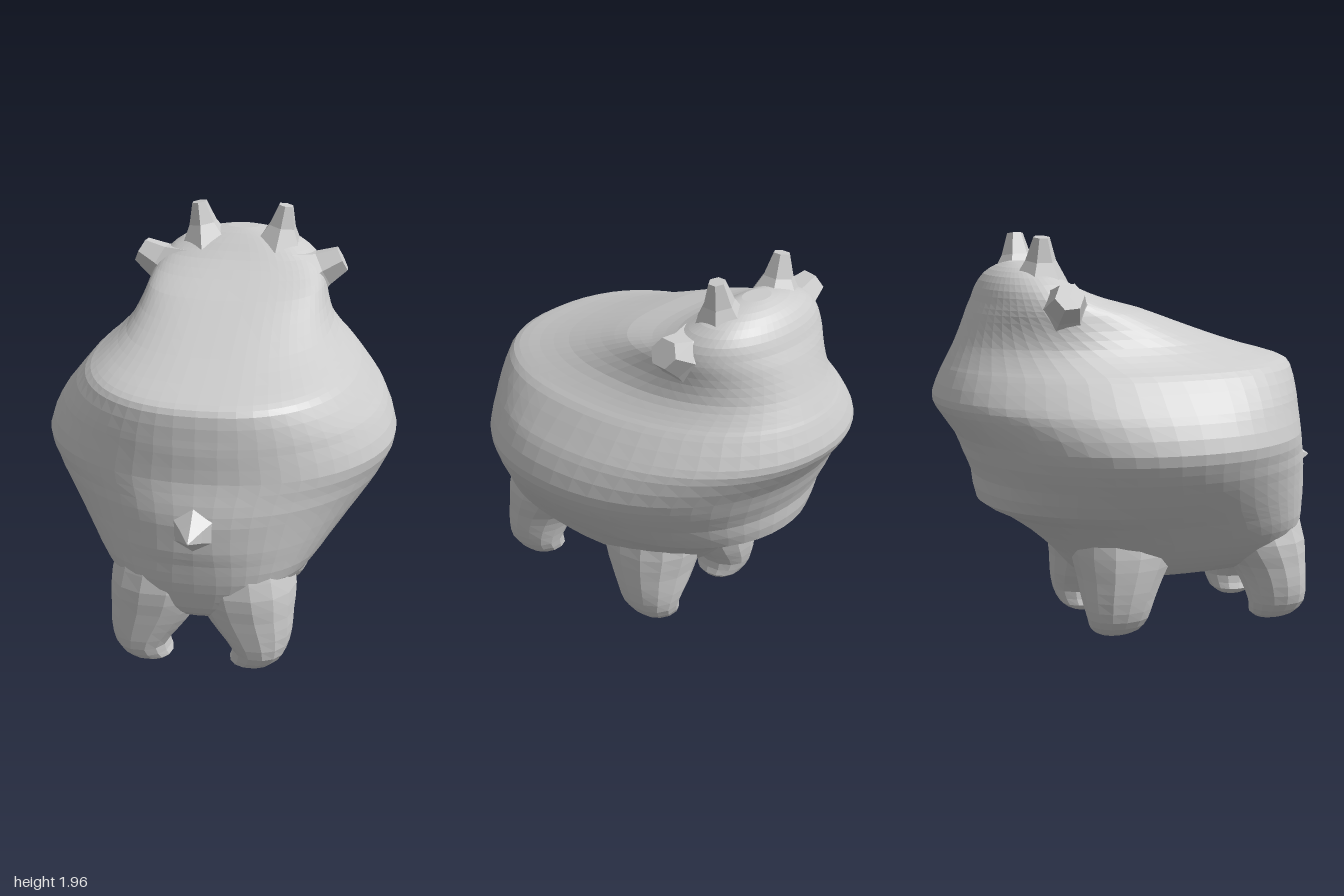
import * as THREE from 'three';

const material = new THREE.MeshStandardMaterial({ color: 0xcccccc, flatShading: true });

// Insert smooth in-between rows into a list of cross-section rows.
function refine(rows, steps) {
  const out = [];
  const at = (i) => rows[Math.max(0, Math.min(rows.length - 1, i))];
  for (let i = 0; i < rows.length - 1; i++) {
    for (let s = 0; s < steps; s++) {
      const t = s / steps;
      out.push(at(i).map((p1, k) => {
        const p0 = at(i - 1)[k], p2 = at(i + 1)[k], p3 = at(i + 2)[k];
        const v = 0.5 * (2 * p1 + (p2 - p0) * t + (2 * p0 - 5 * p1 + 4 * p2 - p3) * t * t
          + (3 * p1 - p0 - 3 * p2 + p3) * t * t * t);
        return Math.max(Math.min(p1, p2), Math.min(Math.max(p1, p2), v));
      }));
    }
  }
  out.push(rows[rows.length - 1]);
  return out;
}

// Stack horizontal rings. Row: [y, halfWidth, zFront, zBack, zWidest, frontRoundness, centreX]
function loft(rows, sides) {
  const pos = [], index = [];
  const pow = (v, n) => Math.sign(v) * Math.pow(Math.abs(v), 2 / n);
  for (const [y, w, zf, zb, zc, nf, cx] of rows) {
    for (let j = 0; j < sides; j++) {
      const a = (j / sides) * Math.PI * 2, c = Math.cos(a), s = Math.sin(a);
      const n = s > 0 ? nf : 2.1;
      pos.push(cx + w * pow(c, n), y, zc + (s > 0 ? zf - zc : zc - zb) * pow(s, n));
    }
  }
  const last = rows.length - 1;
  for (let i = 0; i < last; i++) {
    for (let j = 0; j < sides; j++) {
      const k = (j + 1) % sides;
      const a = i * sides + j, b = i * sides + k, c = b + sides, d = a + sides;
      index.push(a, d, c, a, c, b);
    }
  }
  // close both ends
  for (const i of [0, last]) {
    const [y, , , , zc, , cx] = rows[i];
    const o = pos.length / 3;
    pos.push(cx, y, zc);
    for (let j = 0; j < sides; j++) {
      const a = i * sides + j, b = i * sides + (j + 1) % sides;
      if (i === 0) index.push(o, a, b); else index.push(o, b, a);
    }
  }
  const g = new THREE.BufferGeometry();
  g.setAttribute('position', new THREE.Float32BufferAttribute(pos, 3));
  g.setIndex(index);
  g.computeVertexNormals();
  return g;
}

// Flared low-sided stub from a base point to a tip point.
function stub(name, base, tip, radii, sides) {
  const from = new THREE.Vector3(...base), dir = new THREE.Vector3(...tip).sub(from);
  const len = dir.length();
  const pts = radii.map((r, i) => new THREE.Vector2(r, (len * i) / (radii.length - 1)));
  pts.push(new THREE.Vector2(0, len));
  const mesh = new THREE.Mesh(new THREE.LatheGeometry(pts, sides), material);
  mesh.name = name;
  mesh.position.copy(from);
  mesh.quaternion.setFromUnitVectors(new THREE.Vector3(0, 1, 0), dir.normalize());
  return mesh;
}

export function createModel() {
  const group = new THREE.Group();
  group.name = 'animal';
  const add = (name, geometry) => {
    const mesh = new THREE.Mesh(geometry, material);
    mesh.name = name;
    group.add(mesh);
  };

  // body and head in one skin: belly, flanks, muzzle, sloping back, crown
  const body = [
    [0.23, 0.08, 0.55, -0.12, 0.22, 2.2],
    [0.26, 0.22, 0.72, -0.27, 0.22, 2.3],
    [0.32, 0.34, 0.81, -0.35, 0.22, 2.6],
    [0.40, 0.44, 0.84, -0.42, 0.22, 2.8],
    [0.50, 0.53, 0.86, -0.53, 0.2, 2.7],
    [0.60, 0.61, 0.87, -0.67, 0.16, 2.4],
    [0.67, 0.67, 0.88, -0.79, 0.12, 2.2],
    [0.80, 0.77, 0.88, -0.81, 0.08, 2],
    [0.90, 0.83, 0.86, -0.85, 0.05, 2],
    [1.00, 0.86, 0.83, -0.89, 0.04, 2.1],
    [1.13, 0.81, 0.82, -0.98, 0.03, 2.1],
    [1.20, 0.76, 0.81, -1.0, 0.02, 2.2],
    [1.31, 0.67, 0.79, -0.96, 0, 2.3],
    [1.35, 0.62, 0.74, -0.94, -0.05, 2.4],
    [1.39, 0.57, 0.6, -0.92, -0.12, 2.5],
    [1.45, 0.51, 0.41, -0.89, -0.22, 2.6],
    [1.53, 0.47, 0.19, -0.855, -0.34, 2.7],
    [1.60, 0.45, 0, -0.825, -0.43, 2.8],
    [1.65, 0.43, -0.18, -0.8, -0.48, 2.8],
    [1.71, 0.39, -0.33, -0.775, -0.52, 2.6],
    [1.77, 0.31, -0.42, -0.735, -0.55, 2.4],
    [1.81, 0.2, -0.48, -0.68, -0.57, 2.2],
    [1.83, 0.08, -0.52, -0.63, -0.57, 2],
  ].map((r) => [...r, 0]);
  add('body', loft(refine(body, 2), 56));

  // legs: rounded feet widening into the belly; [y, halfWidth, zFront, zBack, centreX]
  const rear = [
    [0, 0.06, 0.73, 0.6, 0.23], [0.03, 0.11, 0.79, 0.56, 0.25], [0.1, 0.13, 0.83, 0.54, 0.285],
    [0.2, 0.18, 0.84, 0.51, 0.26], [0.3, 0.22, 0.845, 0.46, 0.225], [0.42, 0.25, 0.85, 0.36, 0.2],
    [0.56, 0.24, 0.82, 0.3, 0.18],
  ];
  const fore = [
    [0, 0.06, -0.12, -0.25, 0.23], [0.03, 0.11, -0.06, -0.3, 0.25], [0.1, 0.13, -0.02, -0.33, 0.285],
    [0.2, 0.18, 0.02, -0.35, 0.26], [0.3, 0.22, 0.07, -0.36, 0.23], [0.42, 0.25, 0.14, -0.38, 0.2],
    [0.56, 0.22, 0.18, -0.38, 0.2],
  ];
  for (const [side, sx] of [['left', 1], ['right', -1]]) {
    for (const [end, rows] of [['TailEndLeg', rear], ['HeadEndLeg', fore]]) {
      const full = rows.map(([y, w, zf, zb, cx]) => [y, w, zf, zb, (zf + zb) / 2, 2.2, cx * sx]);
      add(side + end, loft(refine(full, 2), 14));
    }
    // horns and ears
    group.add(stub(side + 'Horn', [sx * 0.19, 1.74, -0.53], [sx * 0.225, 1.955, -0.53], [0.14, 0.075, 0.04], 6));
    group.add(stub(side + 'Ear', [sx * 0.33, 1.6, -0.47], [sx * 0.525, 1.7, -0.49], [0.16, 0.1, 0.07], 6));
  }

  // tail
  group.add(stub('tail', [0, 0.78, 0.84], [0, 0.78, 1], [0.13, 0.06, 0.003], 6));
  return group;
}
